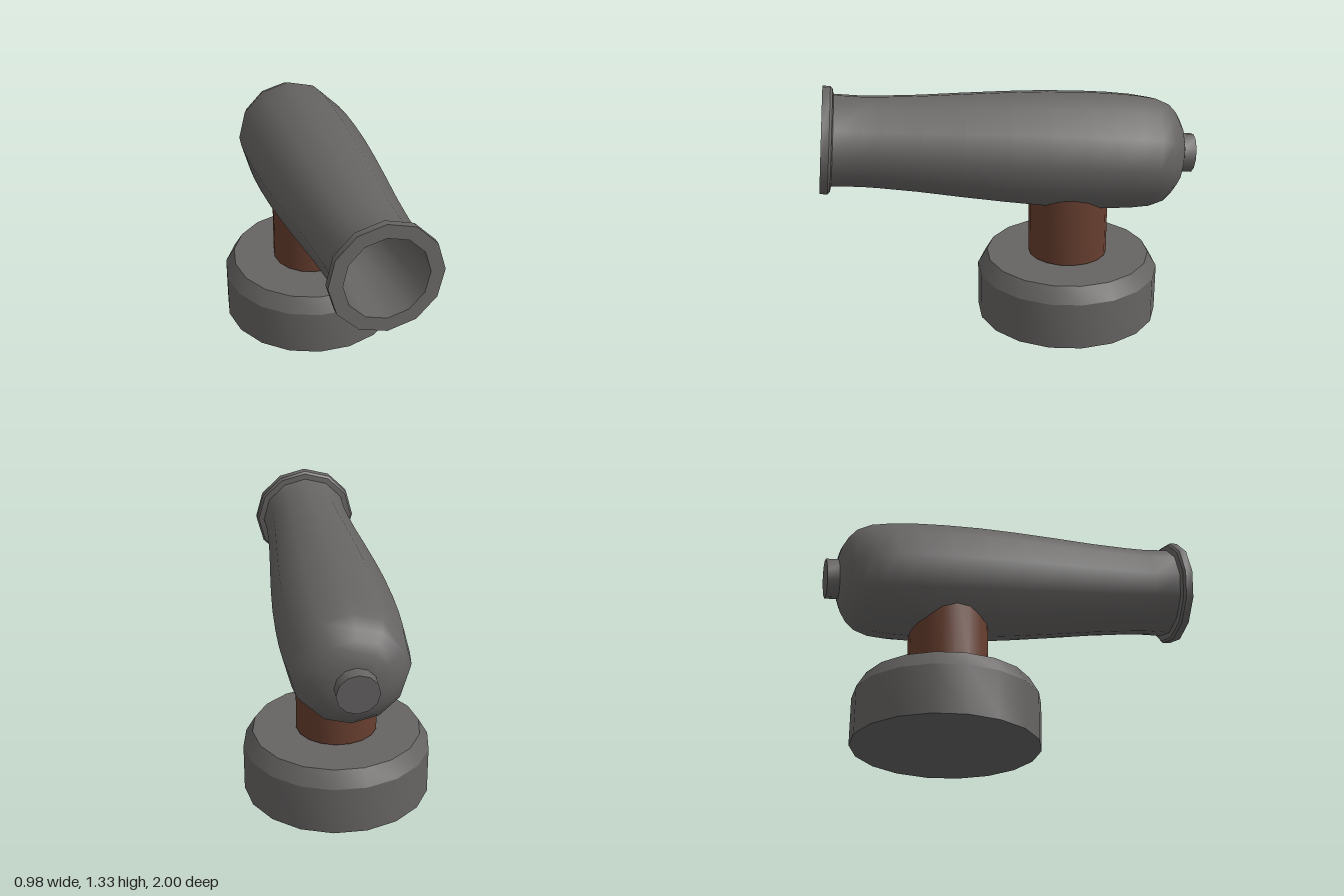
import * as THREE from 'three';
import { toCreasedNormals } from 'three/addons/utils/BufferGeometryUtils.js';

const iron = new THREE.MeshStandardMaterial({ color: 0x666463 });
iron.name = 'dark iron';
const wood = new THREE.MeshStandardMaterial({ color: 0x673e2f });
wood.name = 'brown post';

// Revolves a profile of [radius, height] pairs; edges sharper than the crease stay hard
function turned(name, profile, sides, material, crease, start = 0) {
  const points = profile.map(([r, h]) => new THREE.Vector2(r, h));
  const geometry = new THREE.LatheGeometry(points, sides, start);
  const mesh = new THREE.Mesh(toCreasedNormals(geometry, crease), material);
  mesh.name = name;
  return mesh;
}

export function createModel() {
  const model = new THREE.Group();
  model.name = 'cannon';

  // Round stand with a bevelled top edge, and the post just above it
  const stand = new THREE.Group();
  stand.name = 'stand';
  stand.position.z = -0.322;
  stand.add(
    turned('base', [[0, 0], [0.49, 0], [0.49, 0.255], [0.44, 0.34], [0, 0.34]], 18, iron, 0.45, Math.PI / 2),
    turned('post', [[0, 0.347], [0.212, 0.347], [0.212, 0.82], [0, 0.82]], 18, wood, 0.45, Math.PI / 2)
  );

  // Gun: the lathe axis points forward, with its origin at the muzzle centre
  const gun = new THREE.Group();
  gun.name = 'gun';
  gun.position.set(0, 1.048, 0.975);
  gun.rotation.x = Math.PI / 2 - 0.0855;

  gun.add(
    turned('barrel', [
      [0, -1.908], [0.115, -1.905], [0.175, -1.885], [0.222, -1.856], [0.265, -1.812], [0.295, -1.735],
      [0.308, -1.63], [0.314, -1.5], [0.314, -1.35], [0.308, -1.15], [0.295, -0.95],
      [0.276, -0.72], [0.256, -0.5], [0.243, -0.3], [0.239, -0.2], [0.243, -0.04]
    ], 12, iron, 0.65),
    turned('muzzleRing', [
      [0.242, -0.058], [0.272, -0.052], [0.283, -0.04], [0.283, 0], [0.212, 0]
    ], 12, iron, 0.6),
    // Tapered bore with a flat floor
    turned('bore', [[0.212, 0], [0.14, -0.97], [0, -0.97]], 12, iron, 0.6),
    turned('rearKnob', [[0, -1.97], [0.105, -1.97], [0.105, -1.88]], 12, iron, 0.6)
  );

  model.add(stand, gun);
  return model;
}
